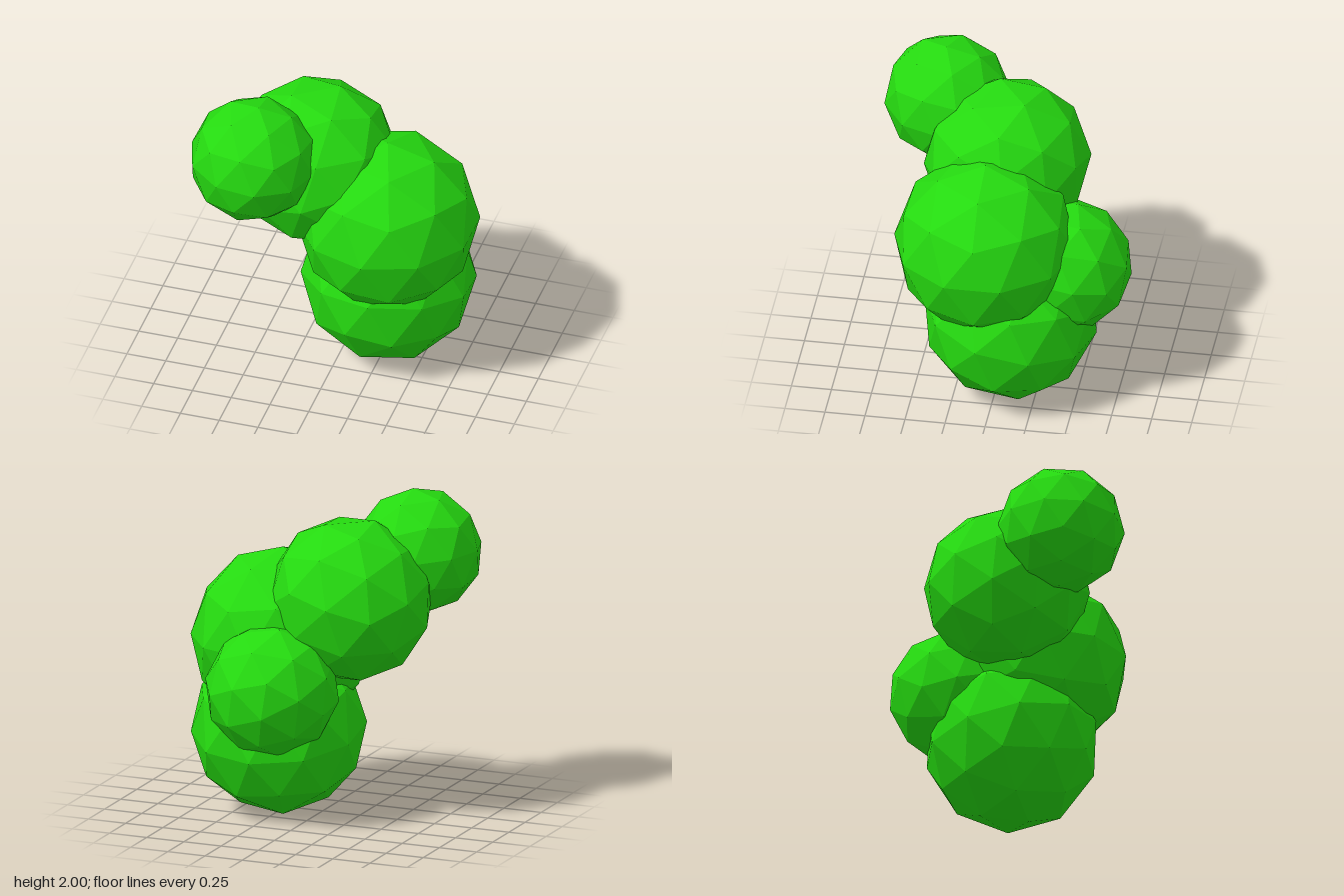
import * as THREE from 'three';

// Faceted ball with one five-sided pole on the y axis
function ballGeometry(radius) {
  const geometry = new THREE.IcosahedronGeometry(radius, 1);
  geometry.rotateZ(-Math.atan(2 / (1 + Math.sqrt(5))));
  return geometry;
}

export function createModel() {
  const group = new THREE.Group();
  group.name = 'foliageCluster';

  const leafGreen = new THREE.MeshStandardMaterial({ color: 0x25da10, flatShading: true });
  leafGreen.name = 'leafGreen';

  // name, radius, centre, then tilt about x, spin about y, tilt about z
  const clumps = [
    ['lowerClump', 0.545, [0.26, 0.535, -0.08], [-0.2, 0.05, 0]],
    ['middleClump', 0.57, [0.3, 1.07, 0.07], [0, 0, 0]],
    ['upperClump', 0.52, [-0.18, 1.375, 0.01], [0, 0.15, -0.74]],
    ['topClump', 0.395, [-0.46, 1.608, 0.43], [0, 0.314, -0.1]],
    ['backClump', 0.42, [0.165, 0.86, -0.405], [0, 0.314, 0.72]],
  ];

  for (const [name, radius, centre, turn] of clumps) {
    const clump = new THREE.Mesh(ballGeometry(radius), leafGreen);
    clump.name = name;
    clump.position.set(...centre);
    clump.rotation.set(...turn, 'ZXY');
    group.add(clump);
  }

  return group;
}
